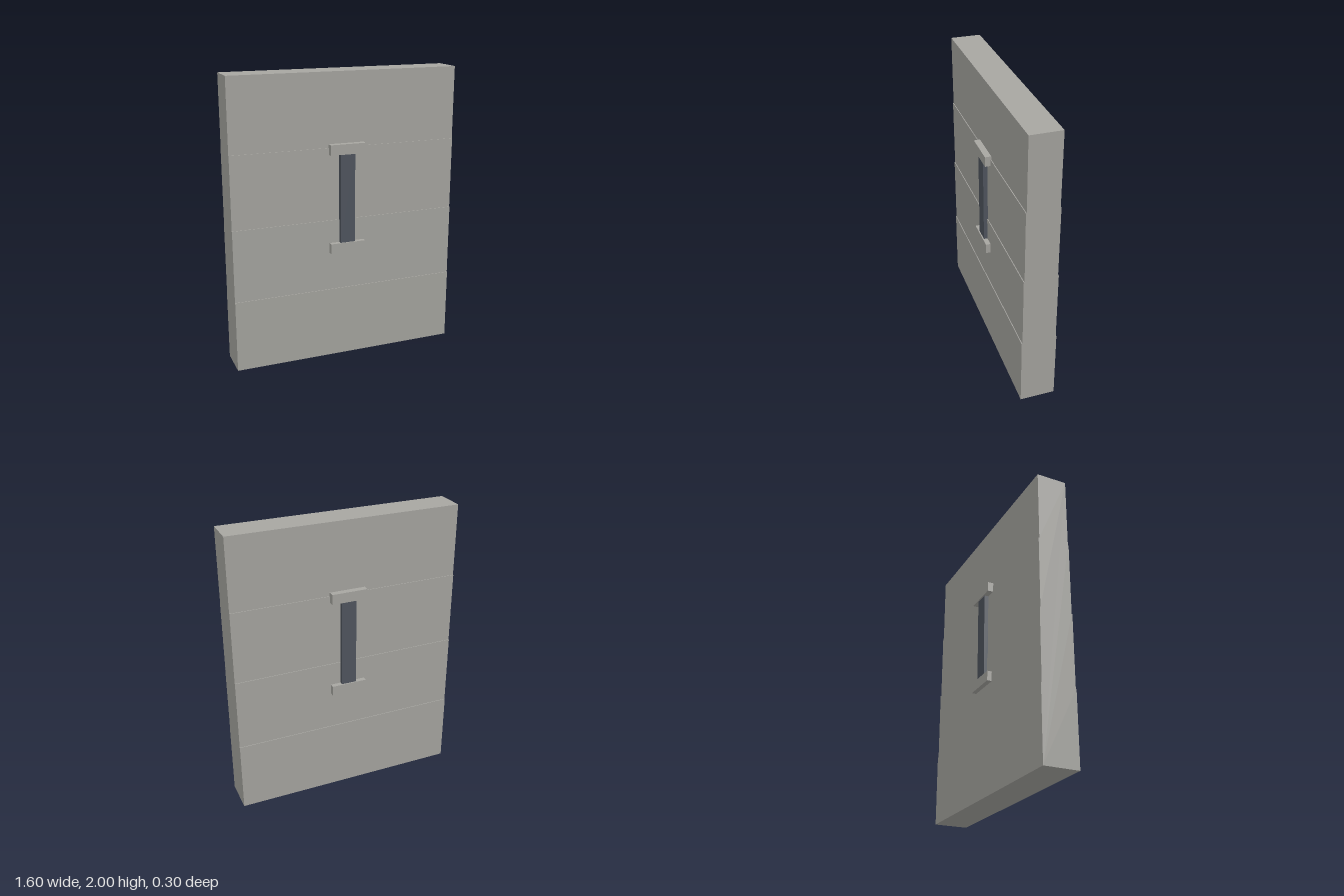
import * as THREE from 'three';

export function createModel() {
  const model = new THREE.Group();
  model.name = 'wallPanel';
  const stone = new THREE.MeshStandardMaterial({ color: 0xa7a6a1 });
  stone.name = 'stone';
  const darkSlate = new THREE.MeshStandardMaterial({ color: 0x50565f });
  darkSlate.name = 'darkSlate';

  const addBox = (name, material, [w, h, d], [x, y, z]) => {
    const mesh = new THREE.Mesh(new THREE.BoxGeometry(w, h, d), material);
    mesh.name = name;
    mesh.position.set(x, y, z);
    model.add(mesh);
  };

  // Wall: one stepped profile, each course slightly thinner than the one below
  const halfDepths = [0.12, 0.115, 0.11, 0.105];
  const courseHeight = 0.5;
  const front = halfDepths.flatMap((d, i) => [
    new THREE.Vector2(-d, i * courseHeight),
    new THREE.Vector2(-d, (i + 1) * courseHeight),
  ]);
  const back = front.map((p) => new THREE.Vector2(-p.x, p.y)).reverse();
  const wallGeometry = new THREE.ExtrudeGeometry(new THREE.Shape([...front, ...back]), {
    depth: 1.6,
    bevelEnabled: false,
  });
  wallGeometry.translate(0, 0, -0.8).rotateY(Math.PI / 2);
  const wall = new THREE.Mesh(wallGeometry, stone);
  wall.name = 'wall';
  model.add(wall);

  // Window slit with lintel and sill on both faces
  for (const side of [1, -1]) {
    const label = side > 0 ? 'front' : 'back';
    addBox(label + 'Slit', darkSlate, [0.104, 0.62, 0.05], [0, 1.147, side * 0.115]);
    addBox(label + 'Lintel', stone, [0.25, 0.07, 0.06], [0, 1.49, side * 0.118]);
    addBox(label + 'Sill', stone, [0.25, 0.07, 0.06], [0, 0.804, side * 0.118]);
  }
  return model;
}
